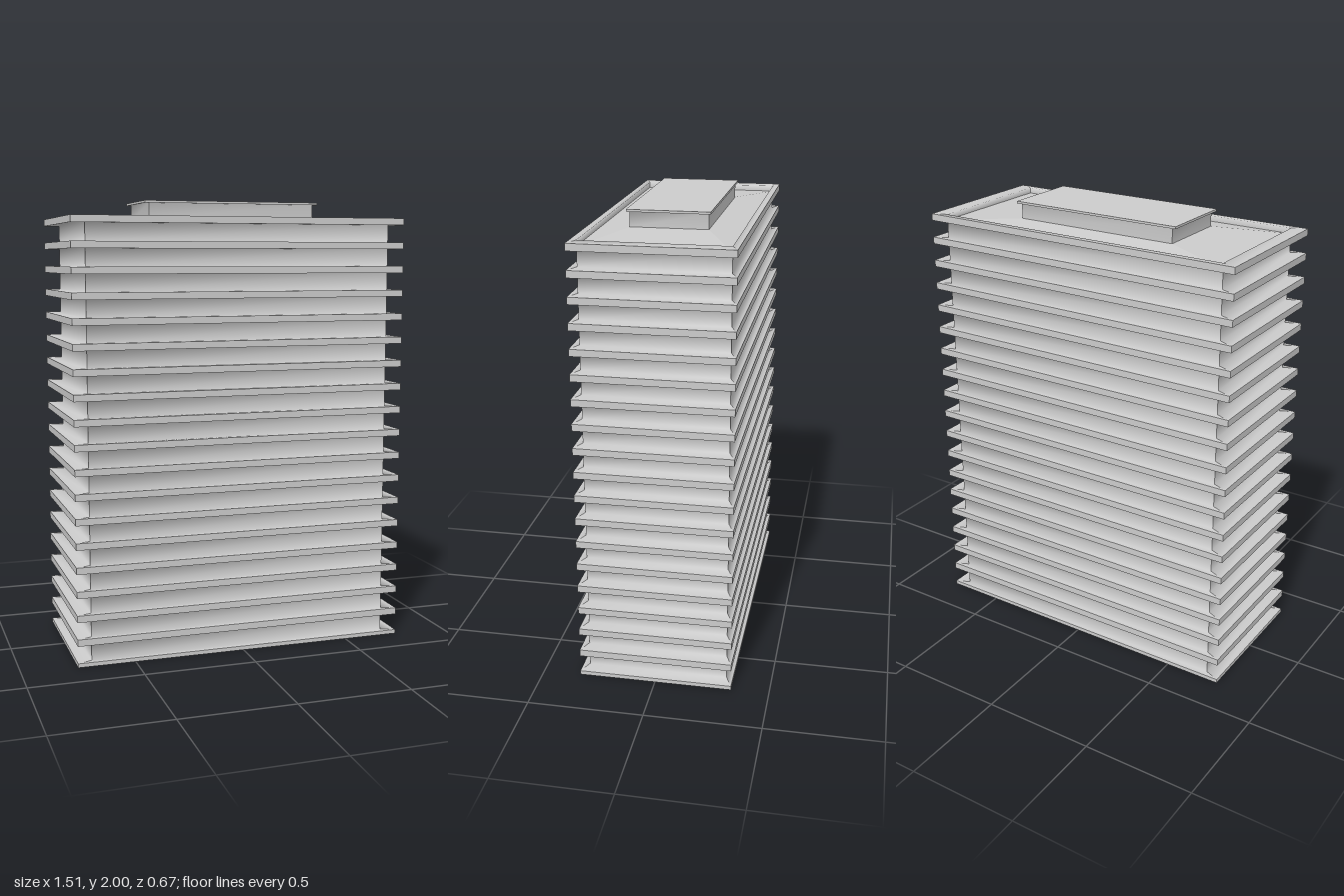
import * as THREE from 'three';

const material = new THREE.MeshStandardMaterial({ color: 0xcccccc, side: THREE.DoubleSide });

// Rectangular shell through [halfX, halfZ, y] rings: smooth up each side, sharp at the four corners.
function rectShell(name, rings) {
  const positions = [], indices = [];
  const corners = [[-1, 1], [1, 1], [1, -1], [-1, -1]];
  corners.forEach((a, side) => {
    const b = corners[(side + 1) % 4];
    const start = positions.length / 3;
    rings.forEach(([hx, hz, y], i) => {
      positions.push(a[0] * hx, y, a[1] * hz, b[0] * hx, y, b[1] * hz);
      if (i === 0) return;
      const p = start + (i - 1) * 2;
      indices.push(p, p + 1, p + 3, p, p + 3, p + 2);
    });
  });
  const geometry = new THREE.BufferGeometry();
  geometry.setAttribute('position', new THREE.Float32BufferAttribute(positions, 3));
  geometry.setIndex(indices);
  geometry.computeVertexNormals();
  const mesh = new THREE.Mesh(geometry, material);
  mesh.name = name;
  return mesh;
}

function panel(name, hx, hz, y, facing) {
  const geometry = new THREE.PlaneGeometry(hx * 2, hz * 2);
  geometry.rotateX(-facing * Math.PI / 2);
  geometry.translate(0, y, 0);
  const mesh = new THREE.Mesh(geometry, material);
  mesh.name = name;
  return mesh;
}

export function createModel() {
  const model = new THREE.Group();
  model.name = 'slabBuilding';

  const floors = 18, step = 0.1062, slab = 0.03;
  const outer = [0.755, 0.335], inner = [0.69, 0.307];
  const firstTop = 0.018, top = firstTop + floors * step;

  // Base plate: ground slab and its underside
  model.add(panel('baseUnderside', ...outer, 0, -1));
  model.add(rectShell('groundSlabEdge', [[...outer, 0], [...outer, firstTop]]));

  // Storeys: slab top, recessed wall and the underside of the next slab, then that slab's edge
  for (let i = 0; i < floors; i++) {
    const y0 = firstTop + i * step, y1 = y0 + step;
    model.add(rectShell('storeyWall' + (i + 1), [
      [...outer, y0], [...inner, y0], [...inner, y1 - slab], [...outer, y1 - slab],
    ]));
    model.add(rectShell('floorSlabEdge' + (i + 1), [[...outer, y1 - slab], [...outer, y1]]));
  }

  // Roof: parapet rim and a shallow slope up to the roof house
  model.add(rectShell('parapetRim', [[...outer, top], [...inner, top], [...inner, top - 0.025]]));
  model.add(rectShell('roof', [[...inner, top - 0.025], [0.38, 0.165, top - 0.005]]));

  // Roof house with an overhanging thin cap
  model.add(rectShell('roofHouseWall', [
    [0.38, 0.165, top - 0.005], [0.38, 0.165, 1.99], [0.4, 0.175, 1.99],
  ]));
  model.add(rectShell('roofHouseCapEdge', [[0.4, 0.175, 1.99], [0.4, 0.175, 2]]));
  model.add(panel('roofHouseCap', 0.4, 0.175, 2, 1));

  return model;
}
